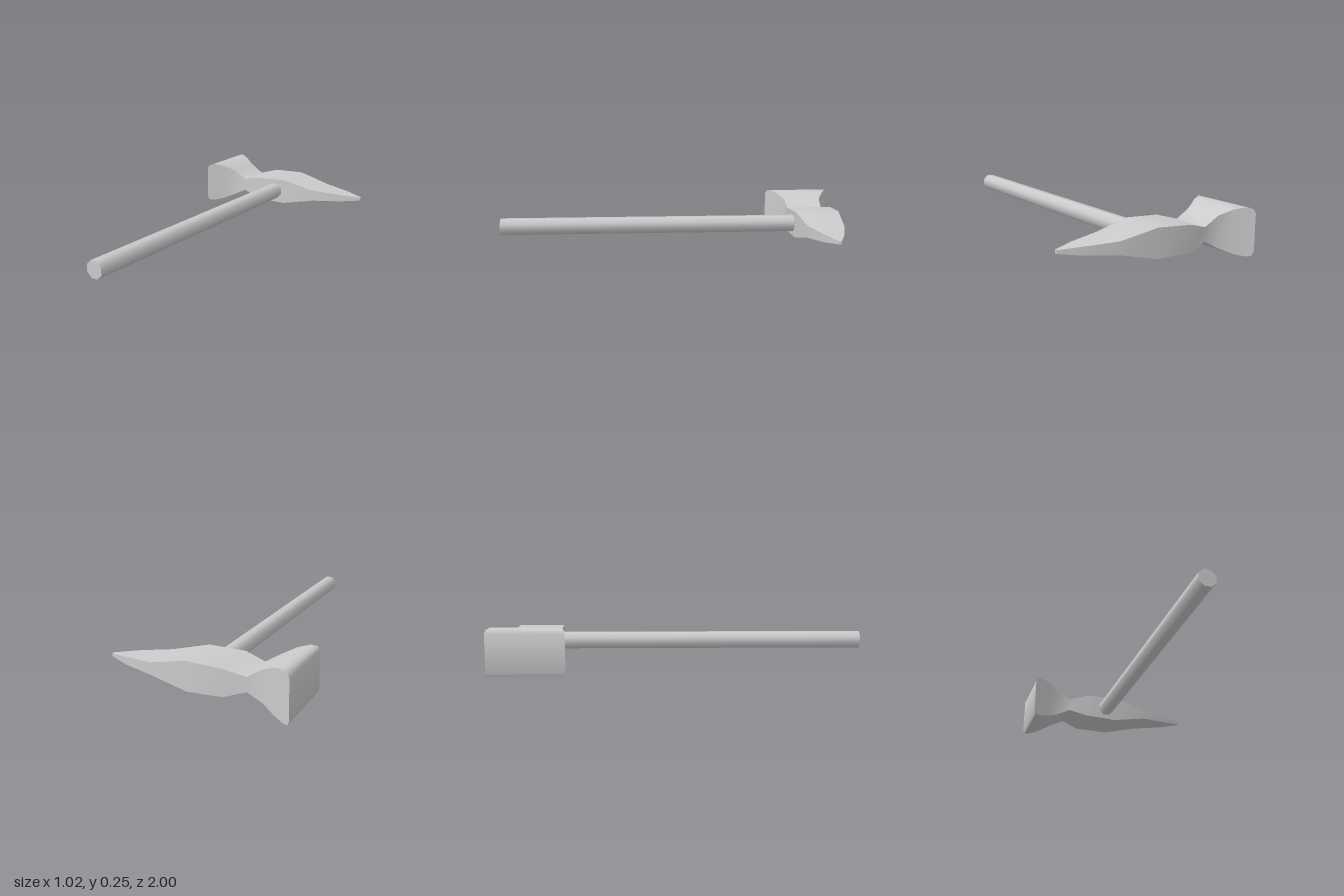
import * as THREE from 'three';
import { toCreasedNormals } from 'three/addons/utils/BufferGeometryUtils.js';

const material = new THREE.MeshStandardMaterial({ color: 0xcccccc });

// Head cross-sections along x: [x, bottom y, top y, half depth]
const SECTIONS = [
  [-0.51, 0.025, 0.22, 0.2],
  [-0.5, 0.003, 0.24, 0.194],
  [-0.475, 0, 0.249, 0.178],
  [-0.42, 0.013, 0.24, 0.147],
  [-0.35, 0.045, 0.208, 0.109],
  [-0.27, 0.086, 0.16, 0.106],
  [-0.16, 0.053, 0.19, 0.131],
  [0.03, 0.047, 0.199, 0.124],
  [0.23, 0.09, 0.155, 0.101],
  [0.4, 0.101, 0.142, 0.052],
  [0.51, 0.114, 0.131, 0.007],
];
const HEAD_Z = -0.8;

// Lofts rectangular sections into a closed solid
function loftHead() {
  const positions = [], index = [];
  for (const [x, y0, y1, d] of SECTIONS) {
    positions.push(x, y1, d, x, y1, -d, x, y0, -d, x, y0, d);
  }
  const quad = (a, b, c, d) => index.push(a, b, c, a, c, d);
  const last = (SECTIONS.length - 1) * 4;
  for (let s = 0; s < last; s += 4) {
    for (let k = 0; k < 4; k++) {
      const n = (k + 1) % 4;
      quad(s + k, s + 4 + k, s + 4 + n, s + n);
    }
  }
  quad(0, 1, 2, 3);
  quad(last + 3, last + 2, last + 1, last);
  const geometry = new THREE.BufferGeometry();
  geometry.setAttribute('position', new THREE.Float32BufferAttribute(positions, 3));
  geometry.setIndex(index);
  return toCreasedNormals(geometry, THREE.MathUtils.degToRad(52));
}

export function createModel() {
  const group = new THREE.Group();
  group.name = 'hammer';

  // Head: flared hammer face on one end, tapering pick on the other
  const head = new THREE.Mesh(loftHead(), material);
  head.name = 'head';
  head.position.z = HEAD_Z;
  group.add(head);

  // Octagonal handle running forward from inside the head
  const back = -0.75, front = 1;
  const shaft = new THREE.CylinderGeometry(0.0485, 0.0485, front - back, 8);
  shaft.rotateY(Math.PI / 8).rotateX(Math.PI / 2);
  const handle = new THREE.Mesh(shaft, material);
  handle.name = 'handle';
  handle.position.set(-0.032, 0.122, (front + back) / 2);
  group.add(handle);

  return group;
}
